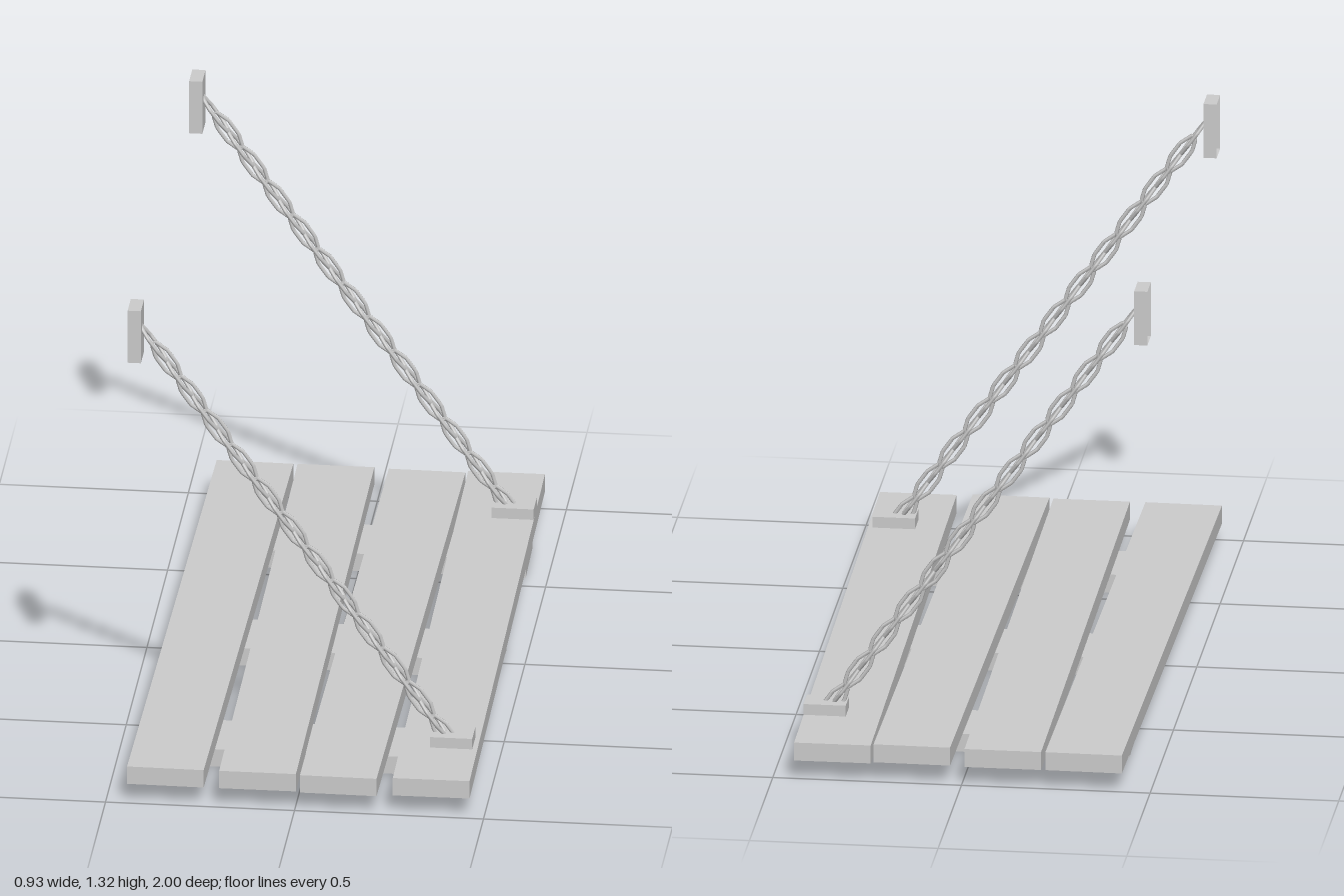
import * as THREE from 'three';

const grey = new THREE.MeshStandardMaterial({ color: 0xcccccc, side: THREE.DoubleSide });
grey.name = 'grey';

function add(parent, name, geometry, x, y, z, turn = 0) {
  const mesh = new THREE.Mesh(geometry, grey);
  mesh.name = name;
  mesh.position.set(x, y, z);
  mesh.rotation.y = turn;
  parent.add(mesh);
  return mesh;
}

// Closed, faceted chain link: long axis on y, width on x
function linkGeometry() {
  const outline = [
    [0.006, 0.06], [0.019, 0.023], [0.019, -0.023], [0.006, -0.06],
    [-0.006, -0.06], [-0.019, -0.023], [-0.019, 0.023], [-0.006, 0.06],
  ].map(([x, y]) => new THREE.Vector3(x, y, 0));
  const path = new THREE.CatmullRomCurve3(outline, true, 'catmullrom', 0);
  return new THREE.TubeGeometry(path, 28, 0.0055, 5, true);
}

// Wall bracket: a box left open towards the wall (-x)
function bracketGeometry() {
  const box = new THREE.BoxGeometry(0.035, 0.15, 0.076);
  const index = Array.from(box.index.array);
  index.splice(6, 6);
  box.setIndex(index);
  box.clearGroups();
  return box;
}

export function createModel() {
  const model = new THREE.Group();
  model.name = 'hangingPlatform';

  // Deck planks, each slightly askew: centre x, centre z, length, turn
  const deck = new THREE.Group();
  deck.name = 'deck';
  model.add(deck);
  [
    [-0.333, -0.003, 1.984, -0.010],
    [-0.104, -0.003, 1.984, 0.005],
    [0.124, 0.003, 1.984, -0.009],
    [0.351, -0.007, 1.984, 0.009],
  ].forEach(([x, z, length, turn]) =>
    add(deck, 'plank', new THREE.BoxGeometry(0.203, 0.05, length), x, 0.075, z, turn));

  // Cross battens under the deck: centre x, centre z, length, turn
  [
    [0.022, 0.645, 0.835, 0.01],
    [0.015, 0, 0.85, -0.022],
    [0.015, -0.643, 0.85, 0.018],
  ].forEach(([x, z, length, turn]) =>
    add(deck, 'batten', new THREE.BoxGeometry(length, 0.05, 0.188), x, 0.025, z, turn));

  // Two supports: deck plate, wall bracket and chain
  const link = linkGeometry();
  const bracket = bracketGeometry();
  const plate = new THREE.BoxGeometry(0.112, 0.03, 0.076);
  const tilt = Math.atan2(0.067, 0.0945);
  for (const side of [-1, 1]) {
    const support = new THREE.Group();
    support.name = side > 0 ? 'frontSupport' : 'backSupport';
    support.position.z = side * 0.742;
    model.add(support);
    add(support, 'deckPlate', plate, 0.39, 0.115, 0);
    add(support, 'wallBracket', bracket, -0.448, 1.245, 0);

    // Links alternate a quarter turn about the chain's axis
    const chain = new THREE.Group();
    chain.name = 'chain';
    support.add(chain);
    for (let i = 0; i < 24; i++) {
      const mesh = add(chain, 'chainLink', link, -0.4 + i * 0.0335, 1.2125 - i * 0.04725, 0);
      mesh.rotation.set(0, i % 2 ? 0 : Math.PI / 2, tilt, 'ZYX');
    }
  }
  return model;
}
